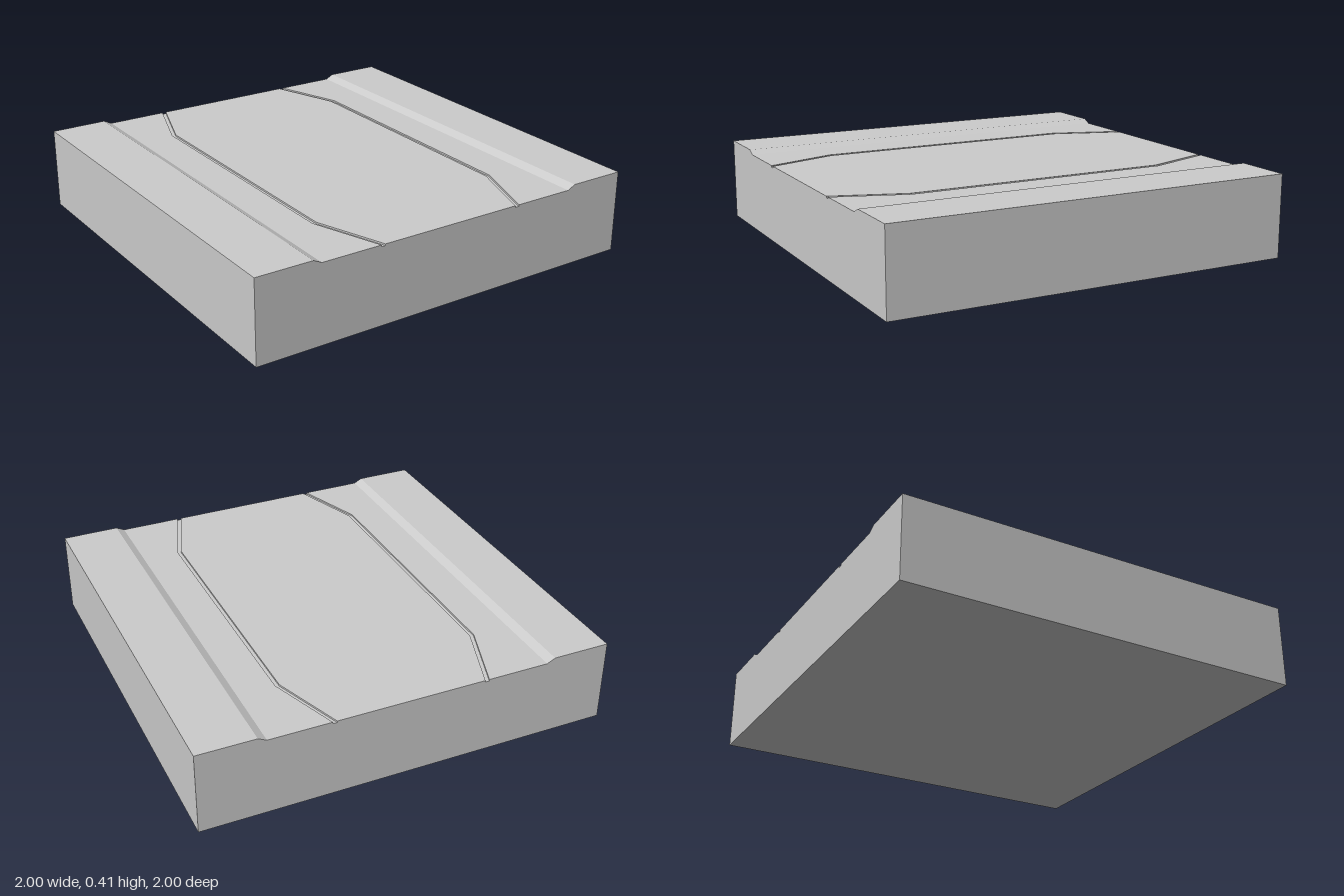
import * as THREE from 'three';

const TOP = 0.405, DECK = 0.385, FLOOR = 0.377;
const GROOVE_END = 0.37, GROOVE_MID = 0.49, HALF_WIDTH = 0.01, BEND_Z = 0.655;

export function createModel() {
  const group = new THREE.Group();
  group.name = 'groundTile';

  // Right half of the cross-section: raised shoulder, slope, sunken deck, groove
  const half = [
    [1, 0], [1, TOP], [0.72, TOP], [0.68, DECK],
    [GROOVE_END + HALF_WIDTH, DECK], [GROOVE_END + HALF_WIDTH, FLOOR],
    [GROOVE_END - HALF_WIDTH, FLOOR], [GROOVE_END - HALF_WIDTH, DECK],
  ];
  const mirrored = half.map(([x, y]) => [-x, y]).reverse();
  const shape = new THREE.Shape([...half, ...mirrored].map(([x, y]) => new THREE.Vector2(x, y)));

  // Extrude in three sections, then bend the grooves outwards in the middle one
  const geometry = new THREE.ExtrudeGeometry(shape, { depth: 3, steps: 3, bevelEnabled: false });
  const stations = [-1, -BEND_Z, BEND_Z, 1];
  const pos = geometry.attributes.position;
  for (let i = 0; i < pos.count; i++) {
    const x = pos.getX(i);
    const step = Math.round(pos.getZ(i));
    const inner = step === 1 || step === 2;
    if (inner && Math.abs(x) < 0.5) pos.setX(i, x + Math.sign(x) * (GROOVE_MID - GROOVE_END));
    pos.setZ(i, stations[step]);
  }
  geometry.computeVertexNormals();

  const slab = new THREE.Mesh(
    geometry,
    new THREE.MeshStandardMaterial({ color: 0xcccccc, flatShading: true })
  );
  slab.name = 'groovedSlab';
  group.add(slab);
  return group;
}
